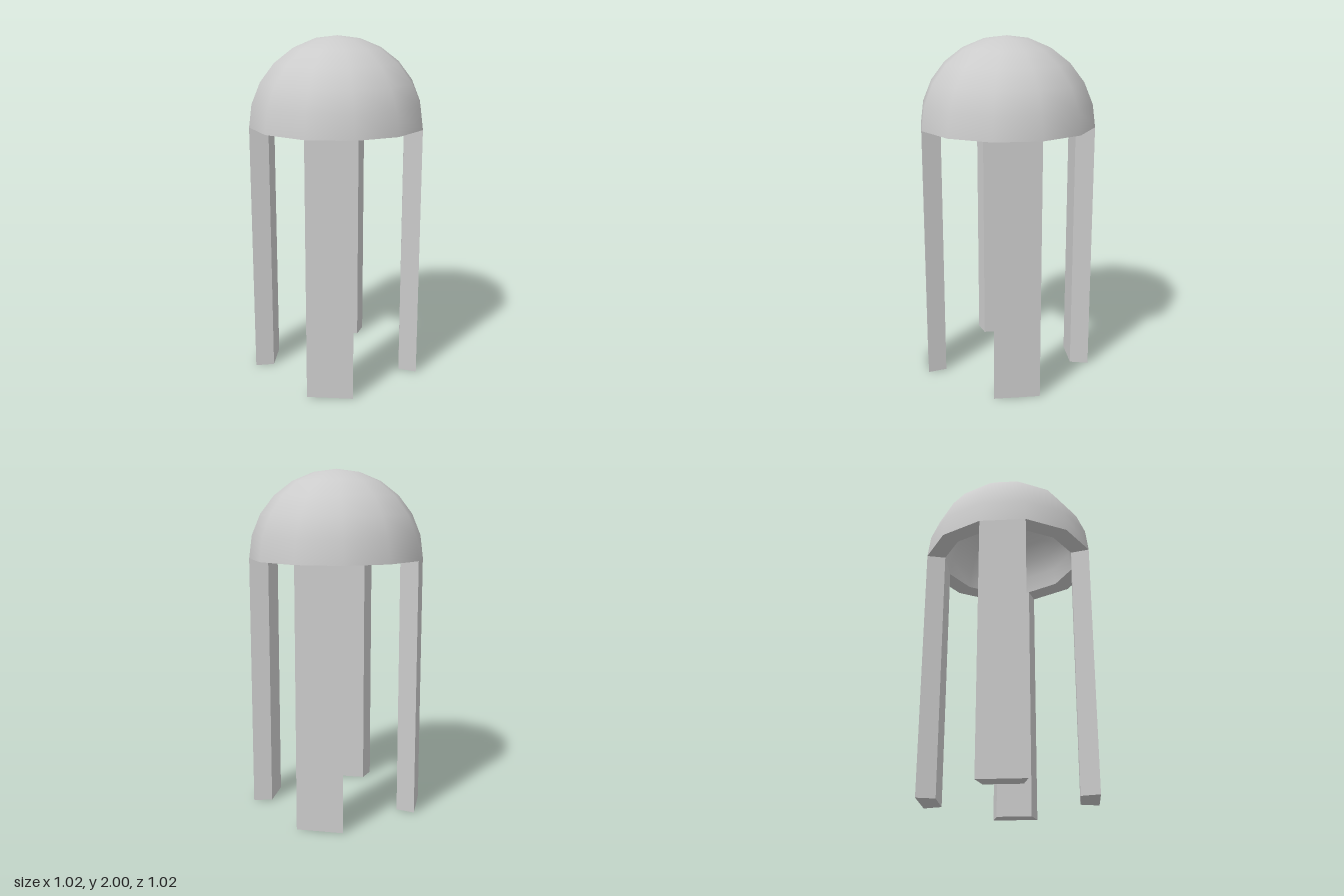
import * as THREE from 'three';

const SIDES = 12, OUTER = 0.51, INNER = 0.4, BASE = 1.49;
const material = new THREE.MeshStandardMaterial({ color: 0xcccccc });

function lathe(name, points) {
  const mesh = new THREE.Mesh(new THREE.LatheGeometry(points, SIDES), material);
  mesh.name = name;
  return mesh;
}

// Quarter circle from the rim up to the crown
function quarterArc(radius, steps = 6) {
  return Array.from({ length: steps + 1 }, (_, i) => {
    const a = (i / steps) * Math.PI / 2;
    return new THREE.Vector2(i === steps ? 0 : radius * Math.cos(a), BASE + radius * Math.sin(a));
  });
}

export function createModel() {
  const model = new THREE.Group();
  model.name = 'domedPavilion';

  // Hollow dome: outer shell, inner shell and the rim joining them
  const dome = new THREE.Group();
  dome.name = 'dome';
  const outer = quarterArc(OUTER);
  const inner = quarterArc(INNER).reverse();
  dome.add(
    lathe('domeOuter', outer),
    lathe('domeInner', inner),
    lathe('domeRim', [inner[inner.length - 1], outer[0]])
  );
  model.add(dome);

  // Four pillars, each one facet of the twelve-sided ring
  const corner = (r, deg) => {
    const a = THREE.MathUtils.degToRad(deg);
    return new THREE.Vector2(r * Math.cos(a), r * Math.sin(a));
  };
  const section = new THREE.Shape([
    corner(INNER, 30), corner(OUTER, 30), corner(OUTER, 60), corner(INNER, 60),
  ]);
  const pillarGeometry = new THREE.ExtrudeGeometry(section, { depth: BASE, bevelEnabled: false });
  pillarGeometry.rotateX(-Math.PI / 2);
  for (const [i, name] of ['backLeft', 'backRight', 'frontRight', 'frontLeft'].entries()) {
    const pillar = new THREE.Mesh(pillarGeometry, material);
    pillar.name = name + 'Pillar';
    pillar.rotation.y = i * Math.PI / 2;
    model.add(pillar);
  }
  return model;
}
